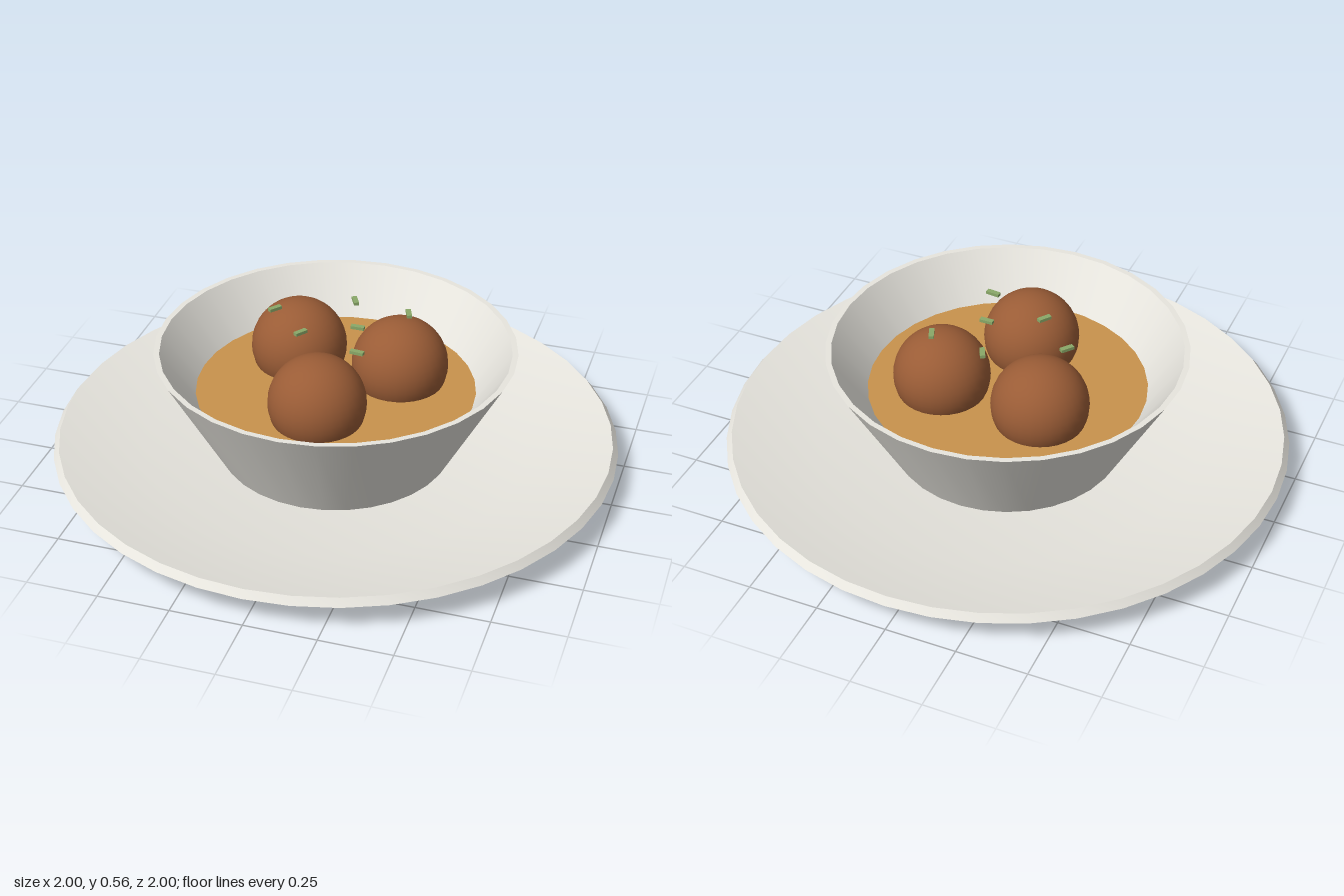
import * as THREE from 'three';
import { toCreasedNormals } from 'three/addons/utils/BufferGeometryUtils.js';

const material = (name, color, side = THREE.FrontSide) => {
  const m = new THREE.MeshStandardMaterial({ color, side });
  m.name = name;
  return m;
};

export function createModel() {
  const model = new THREE.Group();
  model.name = 'bowlOfDumplings';

  const ceramic = material('ceramic', 0xe8e6df, THREE.DoubleSide);
  const sauceColor = material('sauce', 0xc8934c);
  const dumplingColor = material('brownDumpling', 0x9a5c36);
  const herb = material('herb', 0x8aa868);

  const add = (name, geometry, mat, x = 0, y = 0, z = 0, turn = 0) => {
    const mesh = new THREE.Mesh(geometry, mat);
    mesh.name = name;
    mesh.position.set(x, y, z);
    mesh.rotation.y = turn;
    model.add(mesh);
    return mesh;
  };

  // Turned ceramics: profile runs from the underside, over the rim, to the inside floor
  const turned = (profile, segments) => toCreasedNormals(
    new THREE.LatheGeometry(profile.map(([r, y]) => new THREE.Vector2(r, y)), segments), 0.6);

  add('plate', turned([
    [0, 0], [0.72, 0], [1, 0.105], [0.98, 0.13], [0.68, 0.065], [0, 0.05],
  ], 40), ceramic);

  add('bowl', turned([
    [0, 0.052], [0.408, 0.052], [0.632, 0.465], [0.612, 0.465], [0.38, 0.12], [0, 0.12],
  ], 32), ceramic);

  // Sauce filling the bowl
  add('sauce', new THREE.CylinderGeometry(0.492, 0.39, 0.16, 32), sauceColor, 0, 0.22, 0);

  // Three dumplings resting in the sauce
  const ball = new THREE.SphereGeometry(0.17, 32, 20);
  [[-0.18, -0.14], [0.2, -0.115], [0, 0.215]].forEach(([x, z], i) =>
    add(`dumpling${i + 1}`, ball, dumplingColor, x, 0.365, z));

  // Chopped herb garnish: x, z, turn
  const sprig = new THREE.BoxGeometry(0.048, 0.011, 0.018);
  [
    [-0.237, -0.045, 0.9], [0.016, -0.18, -1.1], [0.22, -0.148, -1.2],
    [0.077, -0.005, 0], [-0.1, 0.086, 0.95], [0.123, 0.157, -0.1],
  ].forEach(([x, z, turn], i) => add(`herb${i + 1}`, sprig, herb, x, 0.55, z, turn));

  return model;
}
